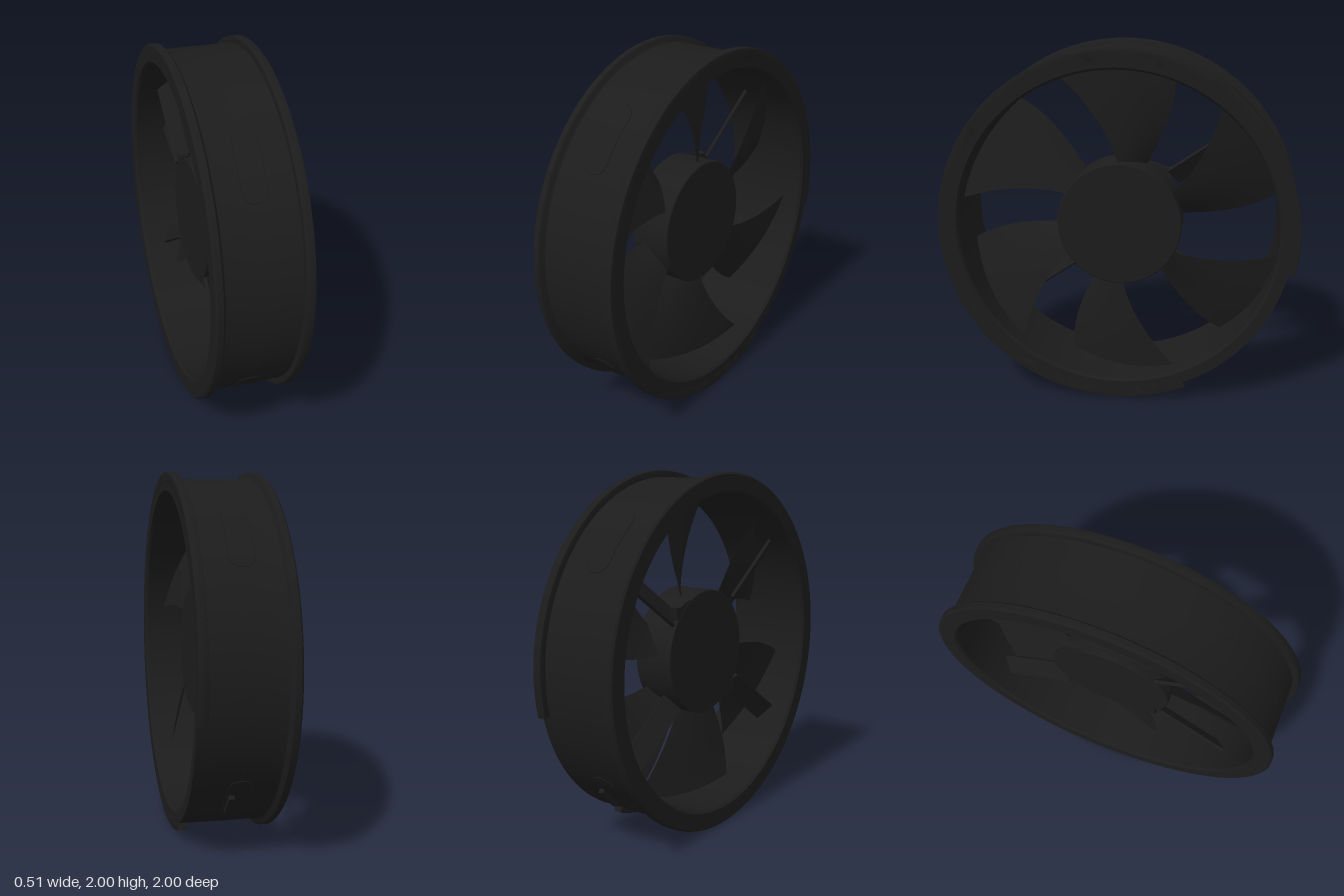
import * as THREE from 'three';
import { toCreasedNormals } from 'three/addons/utils/BufferGeometryUtils.js';

const DEG = Math.PI / 180;
const mat = new THREE.MeshStandardMaterial({ color: 0x1c1c1c });
const thin = new THREE.MeshStandardMaterial({ color: 0x1c1c1c, side: THREE.DoubleSide });

function add(parent, name, geo, material = mat) {
  const mesh = new THREE.Mesh(geo, material);
  mesh.name = name;
  parent.add(mesh);
  return mesh;
}

// Turned part around the z axis from [radius, z] points
function turned(points, segments = 96) {
  const geo = new THREE.LatheGeometry(points.map(([r, z]) => new THREE.Vector2(r, z)), segments);
  geo.rotateX(Math.PI / 2);
  return toCreasedNormals(geo, 35 * DEG);
}

// Swept, twisted blade: curved side edges in [radius, degrees], two skins meeting at the edges
function bladeGeometry() {
  const nu = 14, nv = 14;
  const edge = (...pts) => new THREE.QuadraticBezierCurve(...pts.map(([r, a]) => new THREE.Vector2(r, a)));
  const right = edge([0.33, 66], [0.63, 63.5], [0.892, 70.6]);
  const left = edge([0.33, 91.5], [0.6, 102], [0.892, 111]);
  const pos = [], idx = [];
  const a = new THREE.Vector2(), b = new THREE.Vector2();
  for (const side of [1, -1]) {
    for (let j = 0; j <= nv; j++) {
      const t = j / nv;
      right.getPoint(t, a);
      left.getPoint(t, b);
      const rise = THREE.MathUtils.lerp(0.12, 0.205, t);
      const middle = THREE.MathUtils.lerp(0.01, 0.035, t);
      for (let i = 0; i <= nu; i++) {
        const s = i / nu;
        const r = THREE.MathUtils.lerp(a.x, b.x, s);
        const ang = THREE.MathUtils.lerp(a.y, b.y, s) * DEG;
        const z = middle + (s - 0.5) * rise + Math.sin(Math.PI * s) * (0.008 * side + 0.008);
        pos.push(r * Math.cos(ang), r * Math.sin(ang), z);
      }
    }
  }
  const row = nu + 1, skin = row * (nv + 1);
  for (let k = 0; k < 2; k++) {
    for (let j = 0; j < nv; j++) {
      for (let i = 0; i < nu; i++) {
        const p = k * skin + j * row + i, q = p + row;
        if (k === 0) idx.push(p, q, p + 1, q, q + 1, p + 1);
        else idx.push(p, p + 1, q, q, p + 1, q + 1);
      }
    }
  }
  const geo = new THREE.BufferGeometry();
  geo.setAttribute('position', new THREE.Float32BufferAttribute(pos, 3));
  geo.setIndex(idx);
  geo.computeVertexNormals();
  return geo;
}

// Point on the frame's outside, from distance around the rim and along the axis
function onRim(t, z, radius) {
  const ang = t / 0.965;
  return new THREE.Vector3(radius * Math.cos(ang), radius * Math.sin(ang), z);
}

// Rounded panel wrapped on the frame, and the fine line round its edge
const HALF = 0.192, WIDTH = 0.065, CORNER = 0.06;
function panelWidth(t) {
  const over = Math.max(0, Math.abs(t) - (HALF - CORNER));
  return WIDTH - CORNER + Math.sqrt(Math.max(0, CORNER * CORNER - over * over));
}

function panelGeometry() {
  const geo = new THREE.PlaneGeometry(2, 2, 4, 40);
  const p = geo.attributes.position;
  for (let i = 0; i < p.count; i++) {
    const t = Math.sin(p.getY(i) * Math.PI / 2) * HALF;
    const v = onRim(t, -p.getX(i) * panelWidth(t), 0.967);
    p.setXYZ(i, v.x, v.y, v.z);
  }
  geo.computeVertexNormals();
  return geo;
}

function panelEdgeGeometry() {
  const pts = [];
  for (let i = 0; i < 48; i++) {
    const a = i / 48 * 2 * Math.PI;
    const t = Math.sin(a) * HALF;
    pts.push(onRim(t, Math.sign(Math.cos(a)) * panelWidth(t), 0.965));
  }
  return new THREE.TubeGeometry(new THREE.CatmullRomCurve3(pts, true), 96, 0.003, 5, true);
}

export function createModel() {
  const model = new THREE.Group();
  model.name = 'axialFan';

  // Everything is built with the fan axis on z, then turned to lie on x
  const fan = new THREE.Group();
  fan.name = 'fan';
  fan.rotation.y = Math.PI / 2;
  fan.position.y = 1;
  model.add(fan);

  // Round frame with its rear flange, fillet and fine centre seam
  add(fan, 'frame', turned([
    [0.9, -0.254], [0.99, -0.254], [1, -0.244], [1, -0.215], [0.99, -0.206], [0.975, -0.204], [0.966, -0.197],
    [0.963, -0.18], [0.963, -0.003], [0.965, 0], [0.963, 0.003], [0.963, 0.254], [0.9, 0.254],
    [0.888, 0.24], [0.888, -0.24], [0.9, -0.254],
  ], 128), thin);

  // Front flange, left open at the cable outlet
  const from = -12 * DEG, to = 293 * DEG;
  const arc = new THREE.Shape();
  arc.absarc(0, 0, 0.995, from, to, false);
  arc.absarc(0, 0, 0.94, to, from, true);
  arc.closePath();
  const flange = new THREE.ExtrudeGeometry(arc, {
    depth: 0.039, curveSegments: 110, bevelThickness: 0.005, bevelSize: 0.005, bevelSegments: 2,
  });
  flange.translate(0, 0, 0.21);
  add(fan, 'frontFlange', toCreasedNormals(flange, 35 * DEG));

  // Wrapped panels on the four diagonals
  const panel = panelGeometry(), panelEdge = panelEdgeGeometry();
  for (let i = 0; i < 4; i++) {
    add(fan, 'framePanel', panel, thin).rotation.z = (45 + i * 90) * DEG;
    add(fan, 'framePanelEdge', panelEdge).rotation.z = (45 + i * 90) * DEG;
  }

  // Small cable clip at the outlet
  const clip = new THREE.Group();
  clip.name = 'cableClip';
  clip.rotation.z = -45 * DEG;
  fan.add(clip);
  add(clip, 'clipBar', new THREE.BoxGeometry(0.025, 0.16, 0.03)).position.set(0.975, 0, 0.04);

  // Rotor cup and motor base
  add(fan, 'rotorHub', turned([
    [0, -0.078], [0.348, -0.078], [0.351, -0.074], [0.351, 0.105], [0.346, 0.11], [0, 0.11],
  ]));
  add(fan, 'motorBase', turned([
    [0, -0.12], [0.347, -0.12], [0.351, -0.115], [0.351, -0.082], [0.348, -0.078], [0, -0.078],
  ]));

  // Six blades
  const blade = bladeGeometry();
  for (let i = 0; i < 6; i++) add(fan, 'blade', blade, thin).rotation.z = i * 60 * DEG;

  // Four flat struts, tilted like vanes, in two opposite pairs
  const strut = new THREE.BoxGeometry(0.54, 0.125, 0.018);
  strut.rotateX(34 * DEG);
  for (const flip of [1, -1]) {
    for (const turn of [1, -1]) {
      const mesh = add(fan, 'strut', strut);
      mesh.position.set(0.509 * flip * turn, 0.392 * turn, -0.085);
      mesh.rotation.z = (flip > 0 ? 34.6 : 145.4) * DEG + (turn > 0 ? 0 : Math.PI);
    }
  }

  // Brackets where one pair of struts leaves the motor base
  const outline = new THREE.Shape([
    [0.155, 0.322], [0.2, 0.2], [0.27, 0.2], [0.29, 0.29], [0.25, 0.288],
  ].map(([x, y]) => new THREE.Vector2(x, y)));
  const bracket = new THREE.ExtrudeGeometry(outline, { depth: 0.04, bevelEnabled: false });
  bracket.translate(0, 0, -0.118);
  for (let i = 0; i < 2; i++) add(fan, 'strutBracket', bracket).rotation.z = i * Math.PI;

  return model;
}
